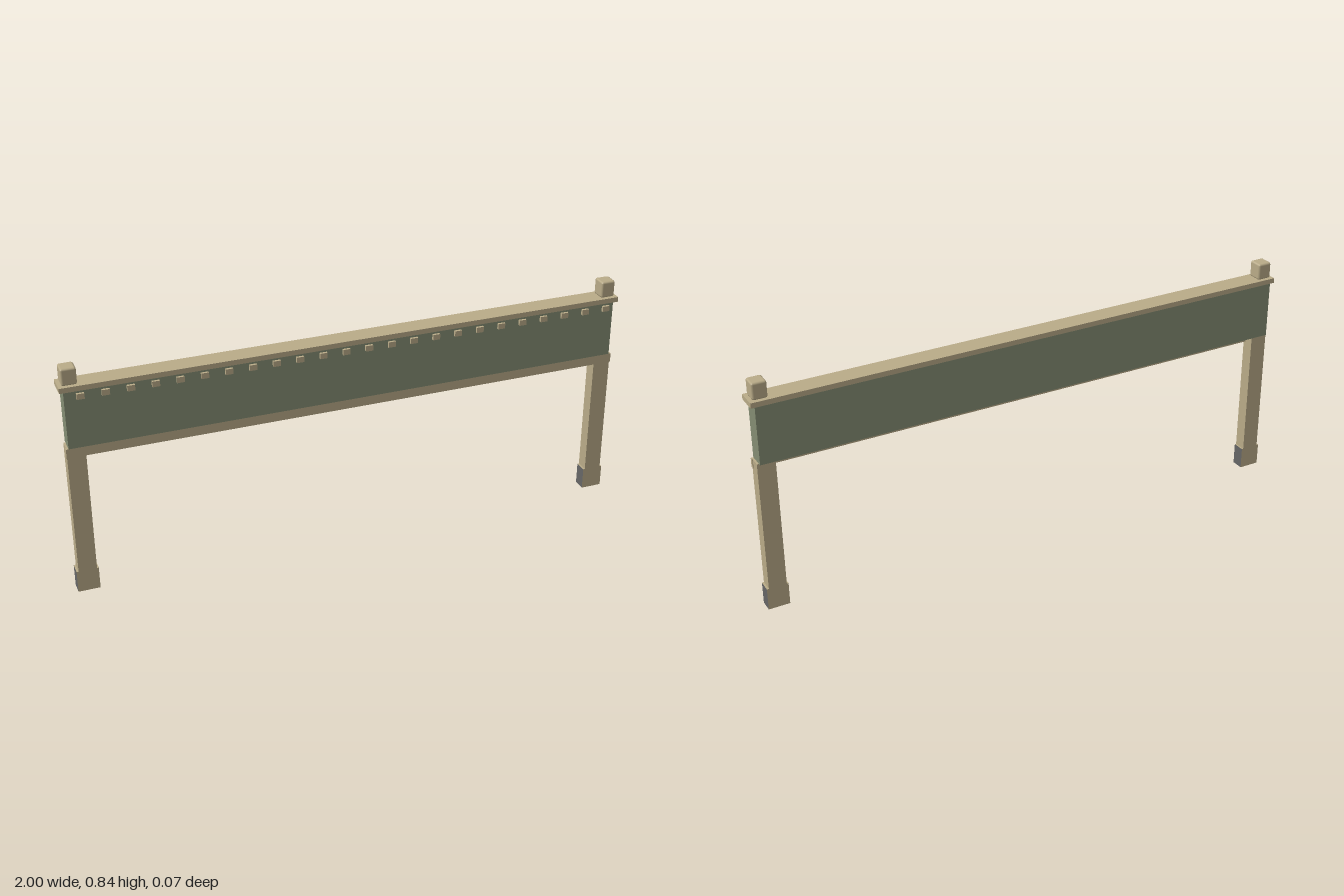
import * as THREE from 'three';
import { RoundedBoxGeometry } from 'three/addons/geometries/RoundedBoxGeometry.js';

export function createModel() {
  const model = new THREE.Group();
  model.name = 'banneredFrame';

  const material = (name, color) => {
    const m = new THREE.MeshStandardMaterial({ color });
    m.name = name;
    return m;
  };
  const tan = material('tan', 0xb9ab88);
  const green = material('sageGreen', 0x848d73);
  const grey = material('darkGrey', 0x666666);

  // Box given by its lower and upper limits on each axis
  const box = (name, [x0, x1], [y0, y1], [z0, z1], mat) => {
    const mesh = new THREE.Mesh(new THREE.BoxGeometry(x1 - x0, y1 - y0, z1 - z0), mat);
    mesh.position.set((x0 + x1) / 2, (y0 + y1) / 2, (z0 + z1) / 2);
    mesh.name = name;
    model.add(mesh);
    return mesh;
  };

  // Panel with its top and bottom rails
  box('panel', [-0.986, 0.986], [0.553, 0.76], [-0.033, 0.028], green);
  box('topRail', [-1, 1], [0.76, 0.778], [-0.037, 0.037], tan);
  box('bottomRail', [-0.995, 0.995], [0.52, 0.553], [0.014, 0.028], tan);

  // Row of small blocks along the top of the panel
  const count = 24;
  for (let i = 0; i < count; i++) {
    const x = -0.933 + (i * 1.888) / (count - 1);
    box('block', [x - 0.013, x + 0.013], [0.729, 0.749], [0.027, 0.037], tan);
  }

  // Legs, feet with grey sides, and bevelled finials
  for (const side of [-1, 1]) {
    const span = (a, b) => [Math.min(side * a, side * b), Math.max(side * a, side * b)];
    box('leg', span(0.93, 0.993), [0.08, 0.553], [-0.022, 0.024], tan);
    box('foot', span(0.924, 1), [0, 0.08], [-0.022, 0.024], [grey, grey, tan, tan, tan, tan]);

    const finial = new THREE.Mesh(new RoundedBoxGeometry(0.052, 0.06, 0.054, 1, 0.007), tan);
    finial.position.set(side * 0.963, 0.808, 0);
    finial.name = 'finial';
    model.add(finial);
  }
  return model;
}
